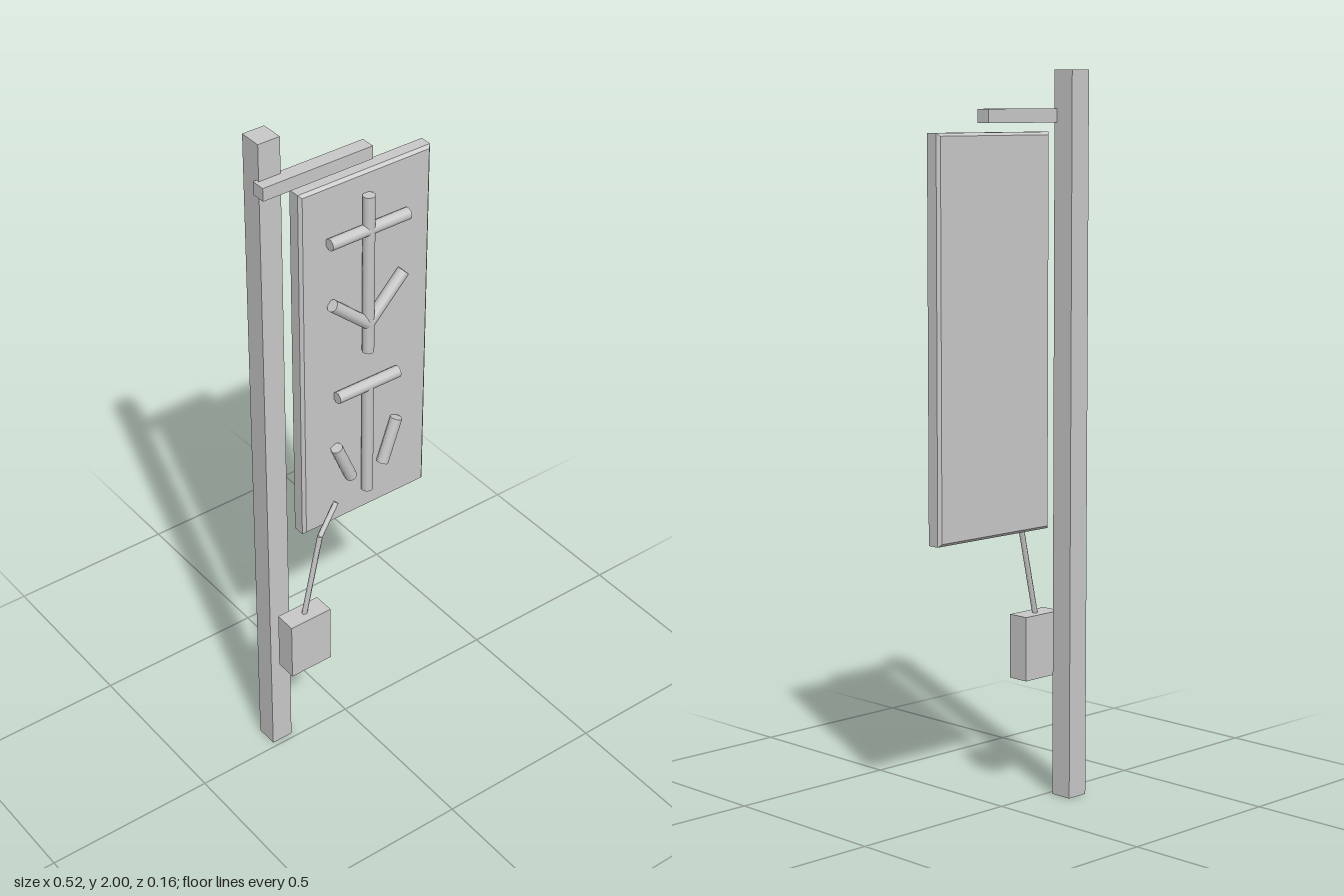
import * as THREE from 'three';

const grey = new THREE.MeshStandardMaterial({ color: 0xc8c8c8 });
grey.name = 'grey';

export function createModel() {
  const model = new THREE.Group();
  model.name = 'hangingSign';

  const add = (name, geometry) => {
    const mesh = new THREE.Mesh(geometry, grey);
    mesh.name = name;
    model.add(mesh);
    return mesh;
  };

  // box given by its lower and upper corners
  const box = (name, [x0, y0, z0], [x1, y1, z1]) =>
    add(name, new THREE.BoxGeometry(x1 - x0, y1 - y0, z1 - z0))
      .position.set((x0 + x1) / 2, (y0 + y1) / 2, (z0 + z1) / 2);

  // straight rod between two points
  const rod = (name, a, b, radius, sides) => {
    const from = new THREE.Vector3(...a), to = new THREE.Vector3(...b);
    const dir = to.clone().sub(from);
    const mesh = add(name, new THREE.CylinderGeometry(radius, radius, dir.length(), sides));
    mesh.position.copy(from).add(to).multiplyScalar(0.5);
    mesh.quaternion.setFromUnitVectors(new THREE.Vector3(0, 1, 0), dir.normalize());
  };

  // post, top arm and power box
  box('post', [-0.25, 0, -0.08], [-0.185, 2, -0.015]);
  box('topArm', [-0.26, 1.86, -0.025], [0.073, 1.897, 0.016]);
  box('powerBox', [-0.243, 0.33, 0.015], [-0.11, 0.51, 0.078]);

  // sign board with chamfered edges
  const bevel = 0.008, x0 = -0.155 + bevel, x1 = 0.257 - bevel, y0 = 0.76 + bevel, y1 = 1.836 - bevel;
  const outline = new THREE.Shape([[x0, y0], [x1, y0], [x1, y1], [x0, y1]].map(p => new THREE.Vector2(...p)));
  add('board', new THREE.ExtrudeGeometry(outline, {
    depth: 0.05 - 2 * bevel, bevelEnabled: true, bevelSize: bevel, bevelThickness: bevel, bevelSegments: 1,
  })).position.z = -0.03 + bevel;

  // light tubes on the board face
  const tubes = [
    [0.048, 1.298, 0.048, 1.773],
    [-0.075, 1.673, 0.173, 1.673],
    [-0.067, 1.487, 0.048, 1.385],
    [0.162, 1.503, 0.048, 1.385],
    [-0.053, 1.188, 0.148, 1.188],
    [0.048, 0.838, 0.048, 1.188],
    [-0.055, 1.023, -0.006, 0.905],
    [0.146, 1.035, 0.1, 0.905],
  ];
  tubes.forEach(([ax, ay, bx, by], i) => rod('lightTube' + (i + 1), [ax, ay, 0.034], [bx, by, 0.034], 0.017, 10));

  // cable from the board down to the power box
  const knee = [-0.12, 0.757, 0.045];
  rod('cableUpper', [-0.055, 0.835, 0.031], knee, 0.008, 6);
  rod('cableLower', knee, [-0.178, 0.5, 0.046], 0.008, 6);

  return model;
}
